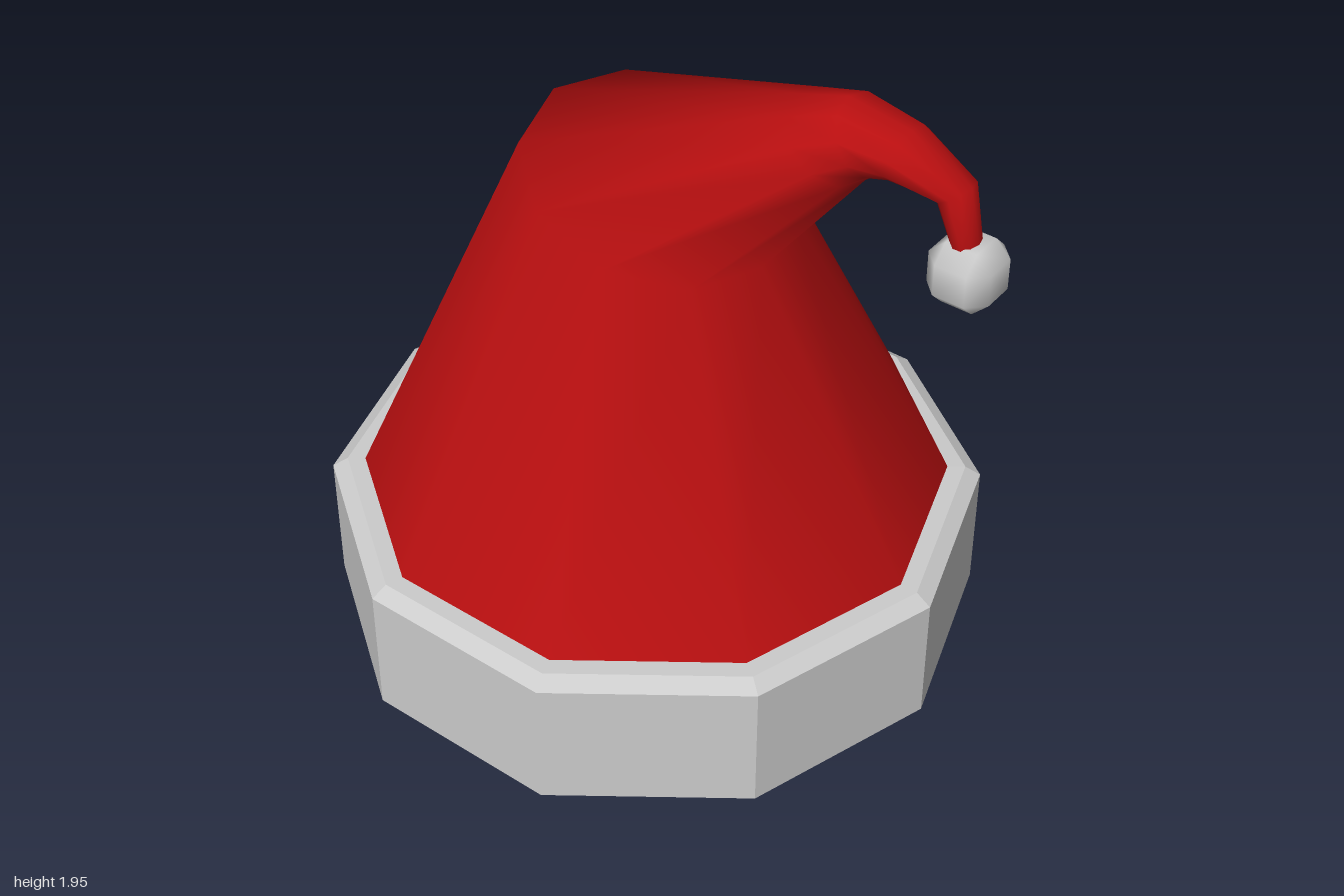
import * as THREE from 'three';
import { mergeVertices } from 'three/addons/utils/BufferGeometryUtils.js';
import { ConvexGeometry } from 'three/addons/geometries/ConvexGeometry.js';

const SIDES = 10;

// Skin between tilted rings; each ring is [leftX, leftY, rightX, rightY, centreZ, halfZ]
function skinRings(rings) {
  const pos = [], index = [];
  rings.forEach(([lx, ly, rx, ry, cz, hz], r) => {
    for (let k = 0; k < SIDES; k++) {
      const a = (k / SIDES) * Math.PI * 2, t = (1 + Math.cos(a)) / 2;
      pos.push(lx + (rx - lx) * t, ly + (ry - ly) * t, cz + hz * Math.sin(a));
      if (r === 0) continue;
      const n = (k + 1) % SIDES, lo = (r - 1) * SIDES, hi = r * SIDES;
      index.push(lo + k, hi + k, lo + n, lo + n, hi + k, hi + n);
    }
  });
  const geo = new THREE.BufferGeometry();
  geo.setAttribute('position', new THREE.Float32BufferAttribute(pos, 3));
  geo.setIndex(index);
  return geo;
}

export function createModel() {
  const hat = new THREE.Group();
  hat.name = 'floppyHat';
  const red = new THREE.MeshStandardMaterial({ color: 0xb90f10, side: THREE.DoubleSide });
  const grey = new THREE.MeshStandardMaterial({ color: 0xcccccc });
  const greyFlat = new THREE.MeshStandardMaterial({ color: 0xcccccc, flatShading: true });
  const add = (name, geo, mat) => {
    const mesh = new THREE.Mesh(geo, mat);
    mesh.name = name;
    hat.add(mesh);
    return mesh;
  };

  // Ten-sided brim with a bevelled top and an inner ledge
  const profile = [[0.76, 0.32], [0.84, 0.32], [0.84, 0], [0.95, 0], [0.95, 0.4], [0.905, 0.43], [0.83, 0.43]]
    .map(([x, y]) => new THREE.Vector2(x, y));
  const brimGeo = new THREE.LatheGeometry(profile, SIDES, Math.PI / 2);
  const bp = brimGeo.attributes.position;
  for (let i = 0; i < bp.count; i++) {
    // the back edge sags slightly
    if (bp.getZ(i) < -0.75 && bp.getY(i) > 0.38) bp.setY(i, bp.getY(i) - 0.015);
  }
  add('brim', brimGeo, greyFlat).position.x = -0.05;

  // Cone that folds over and narrows to a drooping tip
  const coneGeo = skinRings([
    [-0.905, 0.425, 0.805, 0.425, 0, 0.855],
    [-0.39, 1.59, 0.31, 1.3, 0.005, 0.39],
    [0.436, 1.914, 0.644, 1.743, 0.055, 0.145],
    [0.575, 1.952, 0.687, 1.775, 0.04, 0.118],
    [0.746, 1.909, 0.72, 1.775, 0.02, 0.1],
    [0.912, 1.8, 0.83, 1.75, 0, 0.065],
    [0.942, 1.6, 0.872, 1.6, -0.018, 0.045],
  ]);
  const cp = coneGeo.attributes.position;
  for (let i = 0; i < SIDES; i++) {
    // the back hem is pulled outward and down
    if (cp.getZ(i) < -0.75) {
      cp.setZ(i, -0.855);
      cp.setY(i, 0.412);
    }
  }
  coneGeo.computeVertexNormals();
  add('cone', coneGeo, red);

  // Lining from the brim's ledge up to the hem
  const liningGeo = skinRings([
    [-0.81, 0.32, 0.71, 0.32, 0, 0.76],
    [-0.89, 0.42, 0.79, 0.42, 0, 0.84],
  ]);
  liningGeo.computeVertexNormals();
  add('lining', liningGeo, red);

  // Pompom: a cube with chamfered edges and corners, shaded smooth
  const R = 0.09, c = 0.045, pts = [];
  for (const sx of [-1, 1]) for (const sy of [-1, 1]) for (const sz of [-1, 1]) {
    pts.push(
      new THREE.Vector3(sx * R, sy * c, sz * c),
      new THREE.Vector3(sx * c, sy * R, sz * c),
      new THREE.Vector3(sx * c, sy * c, sz * R),
    );
  }
  let pomGeo = new ConvexGeometry(pts);
  pomGeo.deleteAttribute('normal');
  pomGeo = mergeVertices(pomGeo);
  pomGeo.computeVertexNormals();
  add('pompom', pomGeo, grey).position.set(0.91, 1.545, -0.02);

  return hat;
}
